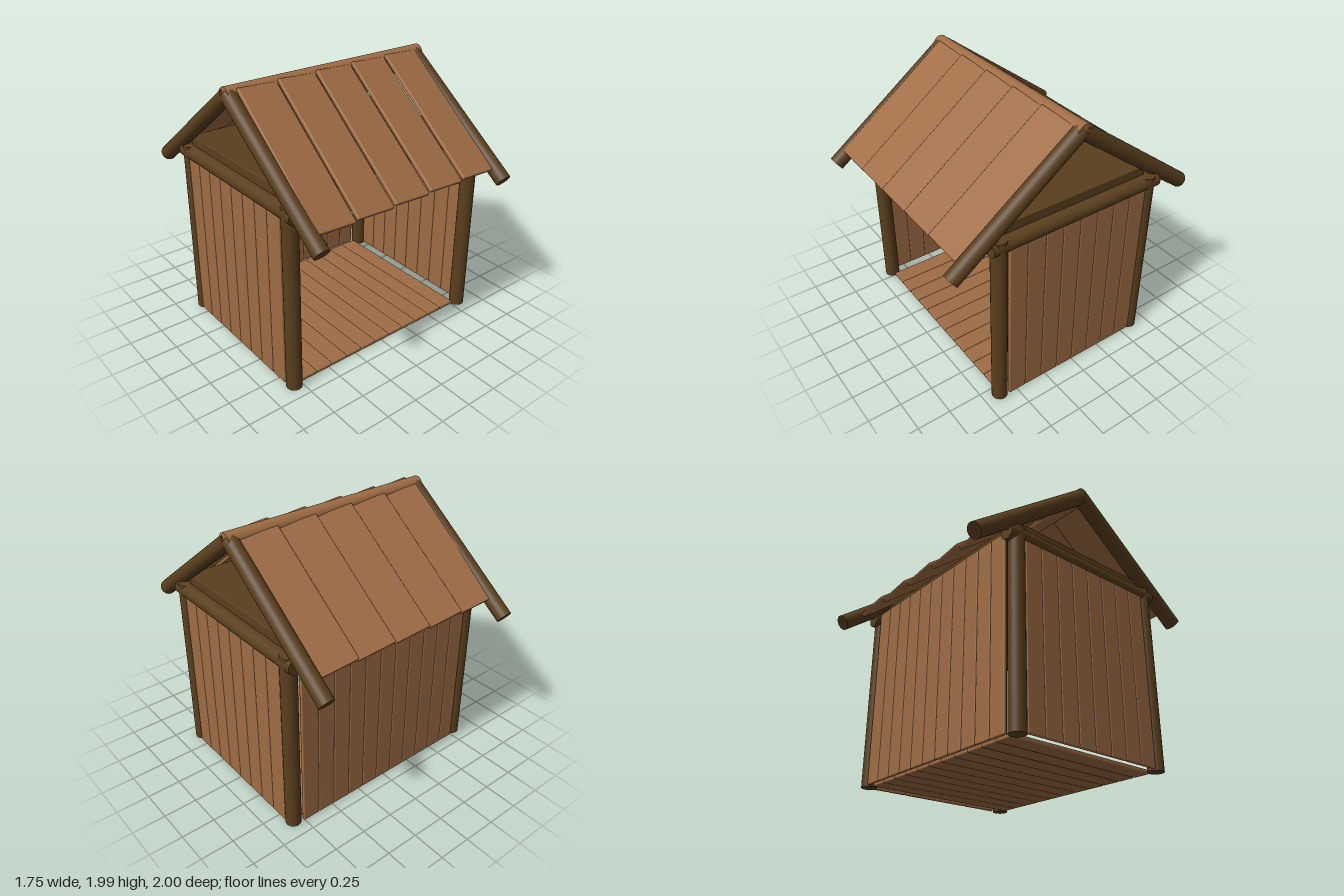
import * as THREE from 'three';
import { RoundedBoxGeometry } from 'three/addons/geometries/RoundedBoxGeometry.js';

const plankMat = new THREE.MeshStandardMaterial({ color: 0x9f6c45 });
const logMat = new THREE.MeshStandardMaterial({ color: 0x5a3f1e });

// Round log between two points
function log(name, a, b, radius = 0.057, mat = logMat) {
  const from = new THREE.Vector3(...a), to = new THREE.Vector3(...b);
  const dir = to.clone().sub(from);
  const mesh = new THREE.Mesh(new THREE.CylinderGeometry(radius, radius, dir.length(), 24), mat);
  mesh.position.copy(from).add(to).multiplyScalar(0.5);
  mesh.quaternion.setFromUnitVectors(new THREE.Vector3(0, 1, 0), dir.normalize());
  mesh.name = name;
  return mesh;
}

// Board with softened edges
function board(name, size, pos, mat = plankMat) {
  const mesh = new THREE.Mesh(new RoundedBoxGeometry(...size, 2, 0.009), mat);
  mesh.position.set(...pos);
  mesh.name = name;
  return mesh;
}

// Calls place(centre, width) for each of n boards filling a span
function row(from, to, n, place) {
  const w = (to - from) / n;
  for (let i = 0; i < n; i++) place(from + (i + 0.5) * w, w);
}

export function createModel() {
  const model = new THREE.Group();
  model.name = 'woodenShelter';
  const group = (name) => {
    const g = new THREE.Group();
    g.name = name;
    model.add(g);
    return g;
  };

  const left = 0.817, right = -0.803; // post lines
  const apexY = 1.94, eaveY = 1.22, eaveZ = 0.965;
  const pitch = Math.atan2(apexY - eaveY, eaveZ);

  // Corner posts, side beams and rafters
  const frame = group('frame');
  for (const x of [left, right]) {
    for (const z of [0.625, -0.61]) frame.add(log('cornerPost', [x, 0.005, z], [x, 1.395, z]));
    frame.add(log('sideBeam', [x, 1.345, 0.695], [x, 1.345, -0.69]));
    const rx = x > 0 ? 0.8 : -0.818;
    for (const s of [1, -1]) frame.add(log('rafter', [rx, apexY, 0], [rx, eaveY, s * eaveZ]));
  }
  model.add(log('ridgeLog', [-0.85, apexY, 0], [0.84, apexY, 0], 0.057, plankMat));

  // Flat ceiling under the roof
  model.add(board('ceiling', [1.6, 0.08, 1.2], [0, 1.43, 0], logMat));

  // Back wall, set toward the outer face of the posts, and floor
  const backWall = group('backWall');
  const floor = group('floor');
  row(-0.745, 0.76, 11, (x, w) => {
    backWall.add(board('backBoard', [w, 1.37, 0.025], [x, 0.695, -0.65]));
    floor.add(board('floorBoard', [w, 0.03, 1.24], [x, 0.02, 0.01]));
  });

  // Side walls, also toward the outer face of the posts
  for (const x of [left + 0.033, right - 0.033]) {
    const wall = group(x > 0 ? 'leftWall' : 'rightWall');
    row(-0.568, 0.57, 8, (z, w) => wall.add(board('sideBoard', [0.025, 1.3, w], [x, 0.66, z])));
  }

  // Roof slopes: overlapping boards, each slightly rolled and turned
  const slopes = [
    { name: 'frontRoof', s: 1, start: 0.012, end: 1.1, lift: 0.036, tilt: 0.022, roll: -0.07 },
    { name: 'backRoof', s: -1, start: 0.03, end: 1.045, lift: 0.018, tilt: 0.03, roll: -0.085 },
  ];
  for (const { name, s, start, end, lift, tilt, roll } of slopes) {
    const slope = group(name);
    slope.position.y = apexY;
    slope.rotation.x = s * pitch;
    row(-0.795, 0.765, 5, (x, w) => {
      const b = board('roofBoard', [w - 0.005, 0.03, end - start], [x, lift, (s * (start + end)) / 2]);
      b.rotation.set(s * tilt, -s * 0.02, roll);
      slope.add(b);
    });
  }
  return model;
}
